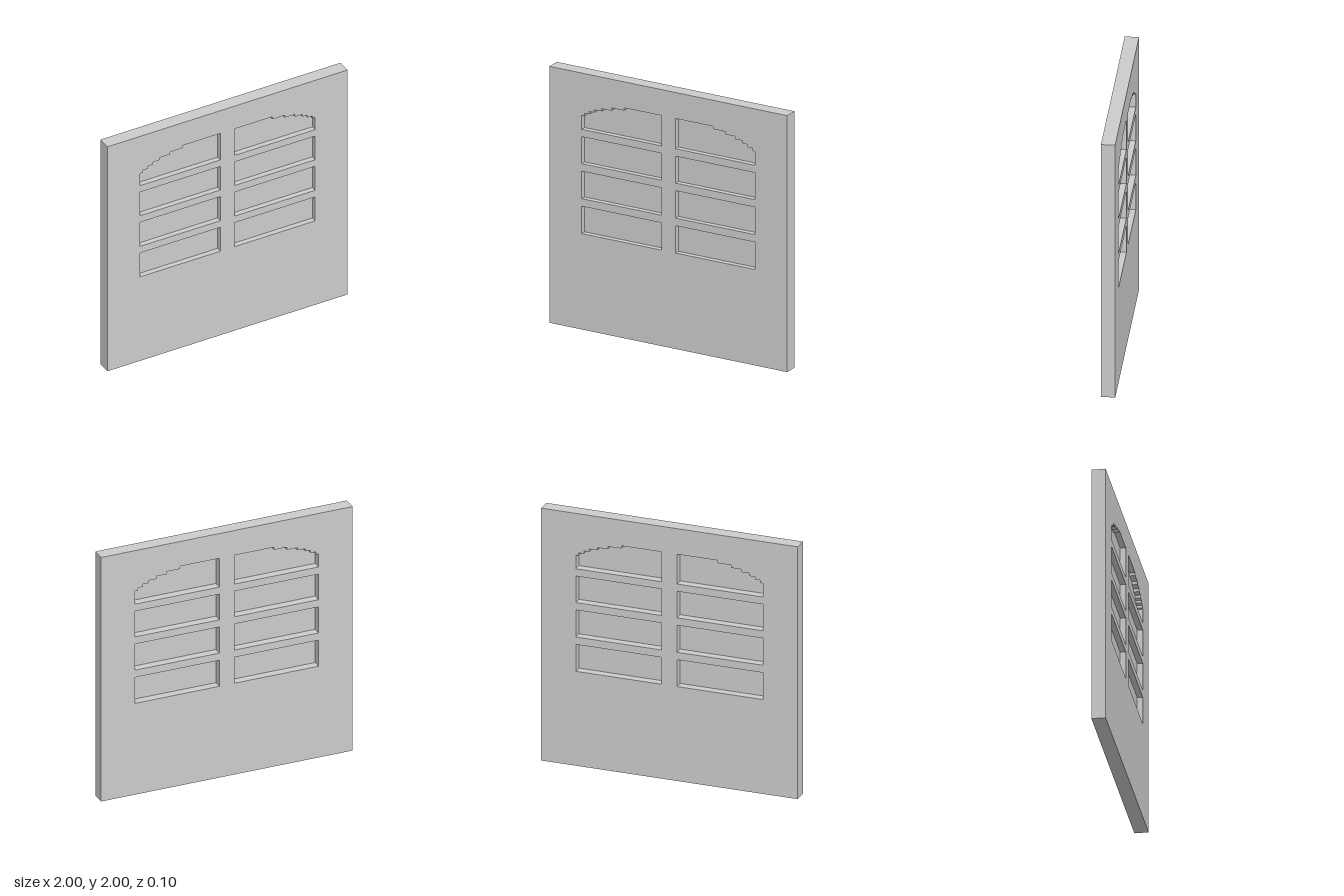
import * as THREE from 'three';

const DEPTH = 0.105;
const PANE_Z = 0.011;
const X_IN = 0.06, X_OUT = 0.73;

// Outline of one opening; side is +1 or -1
const outline = (points, side) => points.map(([x, y]) => new THREE.Vector2(side * x, y));

const rectangle = (y0, y1) => [[X_IN, y0], [X_OUT, y0], [X_OUT, y1], [X_IN, y1]];

// Top opening with a stepped quarter arch: each step drops by one unit of height
function steppedArch(y0, yTop) {
  const drop = 0.0214;
  const stepEnds = [0.375, 0.479, 0.562, 0.625, 0.667, 0.707, X_OUT];
  const steps = [];
  stepEnds.forEach((x, i) => {
    const y = yTop - i * drop;
    if (i > 0) steps.push([stepEnds[i - 1], y]);
    steps.push([x, y]);
  });
  return [[X_IN, y0], [X_OUT, y0], ...steps.reverse(), [X_IN, yTop]];
}

export function createModel() {
  const model = new THREE.Group();
  model.name = 'windowPanel';
  const material = new THREE.MeshStandardMaterial({ color: 0xcccccc, flatShading: true });
  const paneMaterial = new THREE.MeshStandardMaterial({
    color: 0xcccccc, flatShading: true, side: THREE.DoubleSide,
  });

  const openings = [
    rectangle(0.748, 0.961),
    rectangle(1.02, 1.234),
    rectangle(1.293, 1.503),
    steppedArch(1.561, 1.797),
  ];

  // Square slab
  const slab = new THREE.Shape([
    new THREE.Vector2(-1, 0), new THREE.Vector2(1, 0),
    new THREE.Vector2(1, 2), new THREE.Vector2(-1, 2),
  ]);

  // Openings in two mirrored columns, each closed by a thin pane
  for (const side of [1, -1]) {
    openings.forEach((points, row) => {
      const edge = outline(points, side);
      slab.holes.push(new THREE.Path(edge));
      const pane = new THREE.Mesh(new THREE.ShapeGeometry(new THREE.Shape(edge)), paneMaterial);
      pane.name = `${side > 0 ? 'left' : 'right'}Pane${row + 1}`;
      pane.position.z = PANE_Z;
      model.add(pane);
    });
  }

  const geometry = new THREE.ExtrudeGeometry(slab, { depth: DEPTH, bevelEnabled: false });
  geometry.translate(0, 0, -DEPTH / 2);
  const wall = new THREE.Mesh(geometry, material);
  wall.name = 'wallSlab';
  model.add(wall);

  return model;
}
